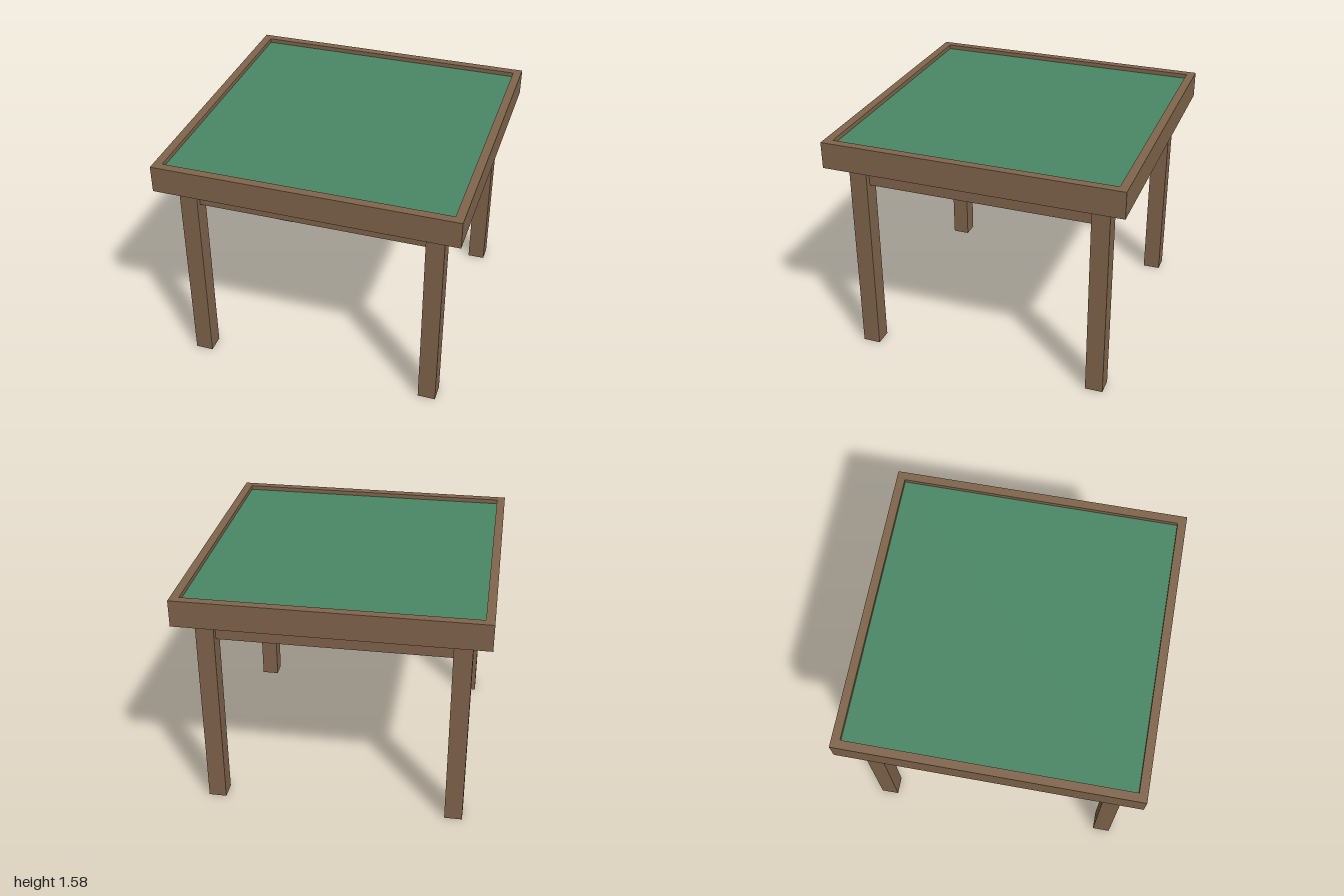
import * as THREE from 'three';

const wood = new THREE.MeshStandardMaterial({ color: 0x80654c });
const felt = new THREE.MeshStandardMaterial({ color: 0x4a8766 });

// Box spanning y0..y1, centred on x, z
function block(name, width, depth, y0, y1, x = 0, z = 0, material = wood) {
  const mesh = new THREE.Mesh(new THREE.BoxGeometry(width, y1 - y0, depth), material);
  mesh.position.set(x, (y0 + y1) / 2, z);
  mesh.name = name;
  return mesh;
}

// Square outline for shapes and holes
function square(path, half) {
  path.moveTo(-half, -half);
  path.lineTo(half, -half);
  path.lineTo(half, half);
  path.lineTo(-half, half);
  path.closePath();
  return path;
}

export function createModel() {
  const table = new THREE.Group();
  table.name = 'gameTable';

  const legTop = 1.4, top = 1.58, inner = 0.943;

  // Raised wooden frame around the playing surface
  const outline = square(new THREE.Shape(), 1);
  outline.holes.push(square(new THREE.Path(), inner));
  const frameGeometry = new THREE.ExtrudeGeometry(outline, { depth: top - legTop, bevelEnabled: false });
  frameGeometry.rotateX(-Math.PI / 2);
  const frame = new THREE.Mesh(frameGeometry, wood);
  frame.position.y = legTop;
  frame.name = 'tabletopFrame';
  table.add(frame);

  // Tabletop board with the sunken felt on it
  table.add(block('tabletopBoard', inner * 2, inner * 2, legTop, 1.53));
  table.add(block('feltSurface', inner * 2, inner * 2, 1.53, 1.55, 0, 0, felt));

  // Solid apron under the top, set back slightly from the leg faces
  table.add(block('apron', 1.68, 1.68, 1.24, legTop));

  // Four square legs
  for (const x of [-0.82, 0.82]) {
    for (const z of [-0.82, 0.82]) {
      const name = (z > 0 ? 'front' : 'back') + (x > 0 ? 'Left' : 'Right') + 'Leg';
      table.add(block(name, 0.12, 0.12, 0, legTop, x, z));
    }
  }
  return table;
}
